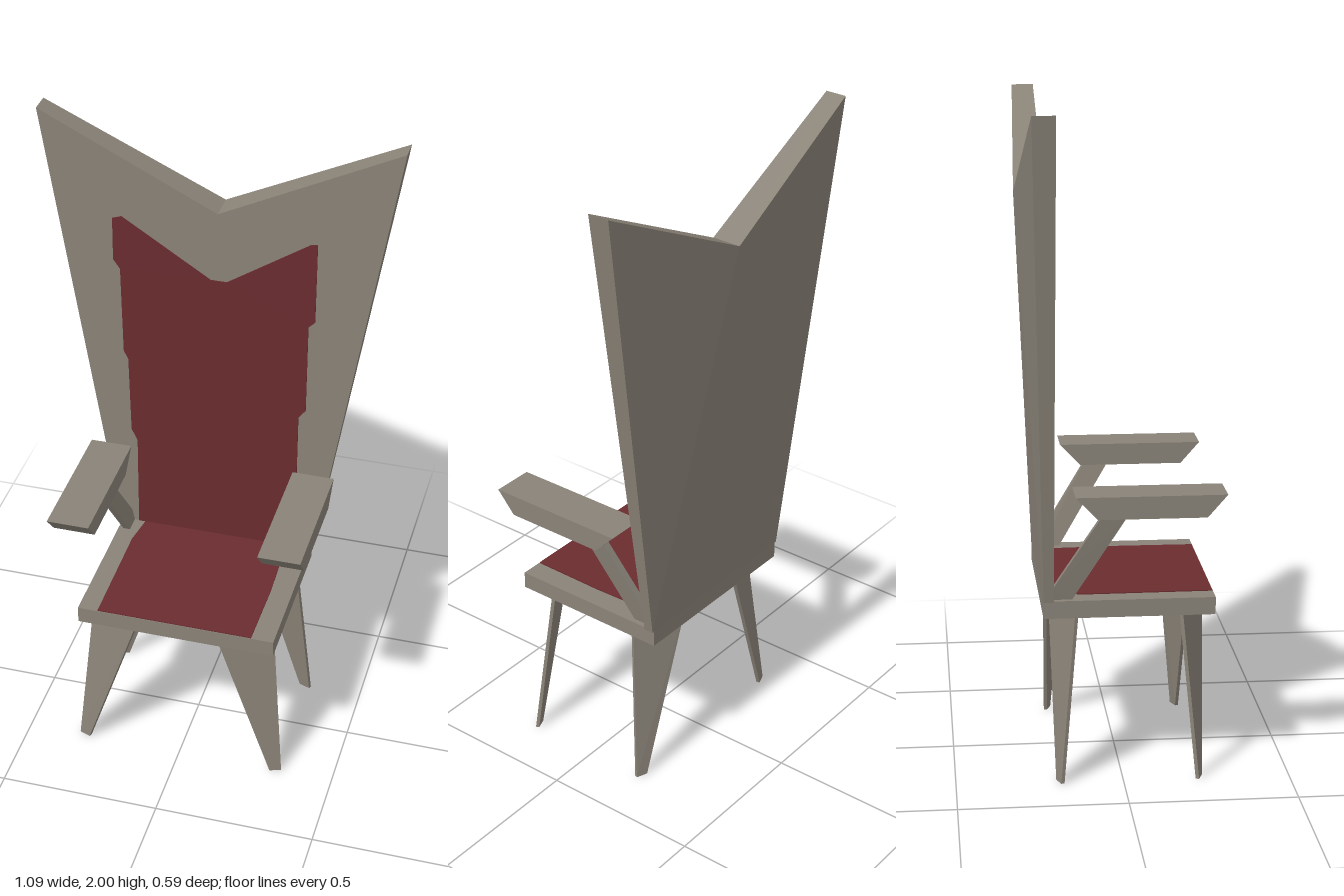
import * as THREE from 'three';
import { ConvexGeometry } from 'three/addons/geometries/ConvexGeometry.js';

export function createModel() {
  const model = new THREE.Group();
  model.name = 'chair';
  const wood = new THREE.MeshStandardMaterial({ color: 0x8a8378 });
  wood.name = 'greyWood';
  const red = new THREE.MeshStandardMaterial({ color: 0x6a2c2f });
  red.name = 'redCushion';

  const add = (name, geometry, material) => {
    const mesh = new THREE.Mesh(geometry, material);
    mesh.name = name;
    model.add(mesh);
    return mesh;
  };
  // Flat-faced solid from its corners, mirrored when side is -1
  const solid = (name, corners, side = 1) =>
    add(name, new ConvexGeometry(corners.map(([x, y, z]) => new THREE.Vector3(x * side, y, z))), wood);
  // Thin red panel from an outline
  const panel = (name, outline) => add(name, new THREE.ExtrudeGeometry(
    new THREE.Shape(outline.map(([x, y]) => new THREE.Vector2(x, y))),
    { depth: 0.003, bevelEnabled: false }), red);

  // Seat slab
  add('seat', new THREE.BoxGeometry(0.62, 0.053, 0.51), wood).position.set(0, 0.535, 0.02);

  for (const side of [1, -1]) {
    const label = side > 0 ? 'left' : 'right';

    // Winged back half: flat front, thicker toward the centre ridge
    solid(label + 'Back', [
      [0, 0.56, -0.205], [0.317, 0.56, -0.205], [0.547, 2, -0.205], [0, 1.73, -0.205],
      [0, 0.56, -0.235], [0.317, 0.56, -0.235], [0.547, 2, -0.272], [0, 1.73, -0.297],
    ], side);

    // Slim splayed legs, set diagonally; t is the inward thickness
    for (const [end, inner, outer, footIn, footOut, t] of [
      ['Front', 0.258, 0.18, 0.24, 0.227, -0.01],
      ['Rear', -0.21, -0.14, -0.2, -0.187, 0.01],
    ]) {
      const face = [[0.13, 0.515, inner], [0.29, 0.515, outer], [0.335, 0, footOut], [0.3, 0, footIn]];
      solid(label + end + 'Leg', [...face, ...face.map(([x, y, z]) => [x - 0.004, y, z + t])], side);
    }

    // Armrest with undercut ends
    solid(label + 'Armrest', [0.26, 0.39].flatMap((x) => [
      [x, 0.895, 0.297], [x, 0.895, -0.145], [x, 0.828, -0.08], [x, 0.828, 0.238],
    ]), side);

    // Leaning armrest support
    solid(label + 'ArmSupport', [0, 0.022].flatMap((w) => [
      [0.272 + w, 0.56, -0.15], [0.272 + w, 0.56, -0.205], [0.28 + w, 0.6, -0.205],
      [0.318 + w, 0.83, -0.06], [0.318 + w, 0.83, 0.015],
    ]), side);
  }

  // Red back panel with stepped edges
  panel('backPanel', [
    [-0.257, 0.562], [0.243, 0.562], [0.243, 0.73], [0.26, 0.77], [0.26, 1.06], [0.282, 1.09],
    [0.282, 1.39], [0.302, 1.41], [0.302, 1.675], [0.28, 1.67], [0.03, 1.505], [-0.02, 1.505],
    [-0.295, 1.68], [-0.323, 1.67], [-0.323, 1.53], [-0.302, 1.5], [-0.296, 1.21],
    [-0.282, 1.18], [-0.276, 0.92], [-0.257, 0.88],
  ]).position.z = -0.205;

  // Red seat panel
  const seatPanel = panel('seatPanel', [
    [-0.247, -0.273], [0.24, -0.273], [0.243, -0.04], [0.235, 0.2], [-0.235, 0.2], [-0.25, 0.1],
  ]);
  seatPanel.rotation.x = -Math.PI / 2;
  seatPanel.position.y = 0.5615;

  return model;
}
